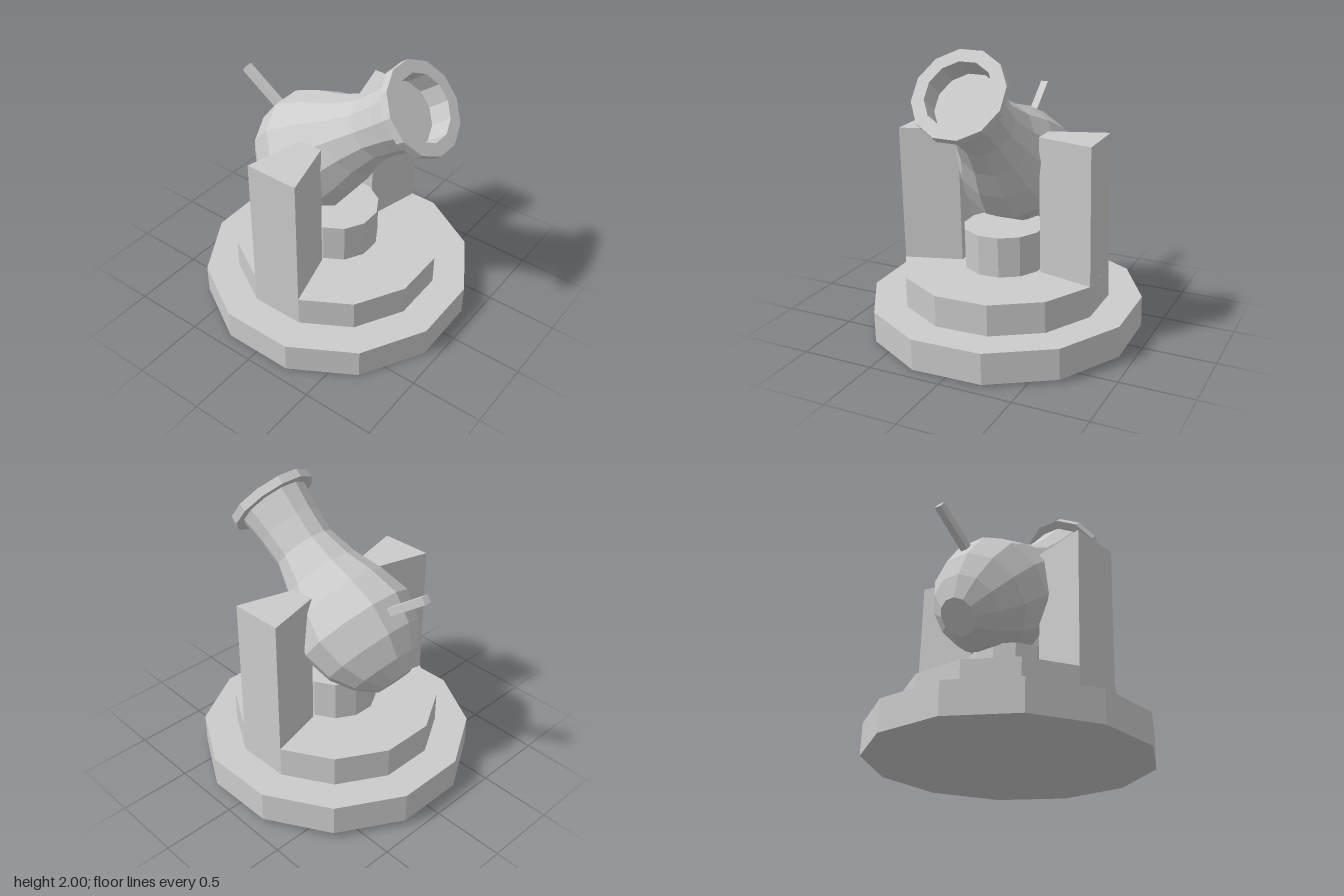
import * as THREE from 'three';

const SIDES = 12;
const HALF_FACET = Math.PI / SIDES;

export function createModel() {
  const model = new THREE.Group();
  model.name = 'mortar';
  const material = new THREE.MeshStandardMaterial({ color: 0xcccccc, flatShading: true });

  const add = (parent, name, geometry) => {
    const mesh = new THREE.Mesh(geometry, material);
    mesh.name = name;
    parent.add(mesh);
    return mesh;
  };

  // Slightly tilted stand
  const stand = new THREE.Group();
  stand.name = 'stand';
  stand.position.y = 0.02;
  stand.rotation.set(0.015, 0.01, -0.015);
  model.add(stand);

  // Stepped twelve-sided discs: name, radius, bottom, top
  const tiers = [
    ['baseDisc', 0.945, 0, 0.215],
    ['middleDisc', 0.715, 0.215, 0.43],
    ['pedestal', 0.283, 0.43, 0.71],
  ];
  for (const [name, radius, bottom, top] of tiers) {
    const disc = new THREE.CylinderGeometry(radius, radius, top - bottom, SIDES);
    disc.rotateY(HALF_FACET);
    disc.translate(0, (bottom + top) / 2, 0);
    add(stand, name, disc);
  }

  // Wedge-shaped posts on either side of the barrel
  const wedge = new THREE.Shape([
    new THREE.Vector2(-0.185, -0.69),
    new THREE.Vector2(0.185, -0.69),
    new THREE.Vector2(0.08, -0.295),
    new THREE.Vector2(-0.08, -0.295),
  ]);
  const postGeometry = new THREE.ExtrudeGeometry(wedge, { depth: 0.943, bevelEnabled: false });
  postGeometry.rotateX(-Math.PI / 2);
  postGeometry.translate(0, 0.43, 0);
  ['frontPost', 'backPost'].forEach((name, i) => {
    add(stand, name, postGeometry).rotation.y = i * Math.PI;
  });

  // Barrel profile from breech to muzzle to bore floor: distance along axis, flat-to-centre radius
  const profile = [
    [-1.505, 0], [-1.505, 0.126], [-1.405, 0.248], [-1.257, 0.347], [-1.053, 0.398],
    [-0.84, 0.34], [-0.645, 0.26], [-0.435, 0.207], [-0.25, 0.215], [-0.06, 0.238],
    [-0.06, 0.297], [0, 0.297], [0, 0.214], [-0.16, 0.214], [-0.16, 0],
  ].map(([y, r]) => new THREE.Vector2(r / Math.cos(HALF_FACET), y));
  const barrelGeometry = new THREE.LatheGeometry(profile, SIDES);
  barrelGeometry.rotateY(HALF_FACET);
  barrelGeometry.rotateZ(THREE.MathUtils.degToRad(-52.2));
  const barrel = add(model, 'barrel', barrelGeometry);
  barrel.position.set(0.657, 1.765, 0.012);
  barrel.rotation.y = 0.01;

  // Square fuse sticking out of the breech
  const outer = new THREE.Vector3(-0.745, 1.563, 0.04);
  const inner = new THREE.Vector3(-0.425, 1.323, 0.027);
  const fuse = add(model, 'fuse', new THREE.BoxGeometry(0.053, outer.distanceTo(inner), 0.053));
  fuse.position.copy(outer).add(inner).multiplyScalar(0.5);
  fuse.quaternion.setFromUnitVectors(new THREE.Vector3(0, 1, 0), outer.clone().sub(inner).normalize());

  return model;
}
